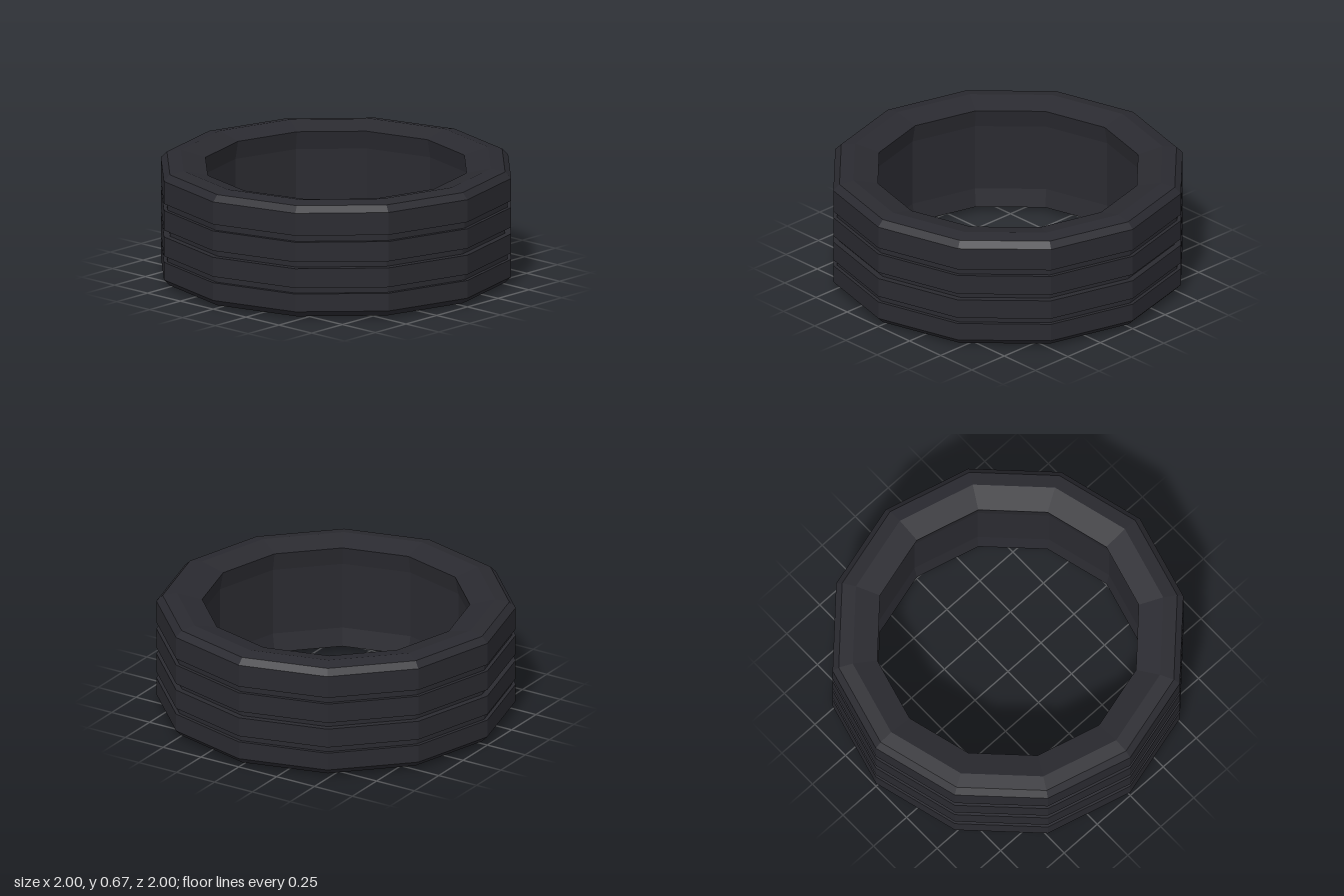
import * as THREE from 'three';

export function createModel() {
  const model = new THREE.Group();
  model.name = 'tire';
  const rubber = new THREE.MeshStandardMaterial({ color: 0x2a2a30, flatShading: true });
  rubber.name = 'dark rubber';

  const H = 0.667;
  const profile = [];
  const add = (r, y) => profile.push(new THREE.Vector2(r, y));

  // Lower sidewall and shoulder
  add(0.745, 0.035);
  add(0.885, 0);
  add(0.965, 0.015);
  add(1, 0.05);

  // Tread with three grooves, the middle one deeper: [bottom, top, radius]
  for (const [y0, y1, r] of [[0.152, 0.187, 0.979], [0.298, 0.336, 0.964], [0.45, 0.488, 0.979]]) {
    add(1, y0);
    add(r, y0);
    add(r, y1);
    add(1, y1);
  }

  // Upper shoulder and sidewall
  add(1, H - 0.05);
  add(0.965, H - 0.015);
  add(0.885, H);
  add(0.745, H - 0.035);

  // Inner wall, slightly hollow behind both lips
  add(0.765, H - 0.14);
  add(0.765, 0.14);
  add(0.745, 0.035);

  const tire = new THREE.Mesh(new THREE.LatheGeometry(profile, 12), rubber);
  tire.name = 'tireRing';
  model.add(tire);
  return model;
}
